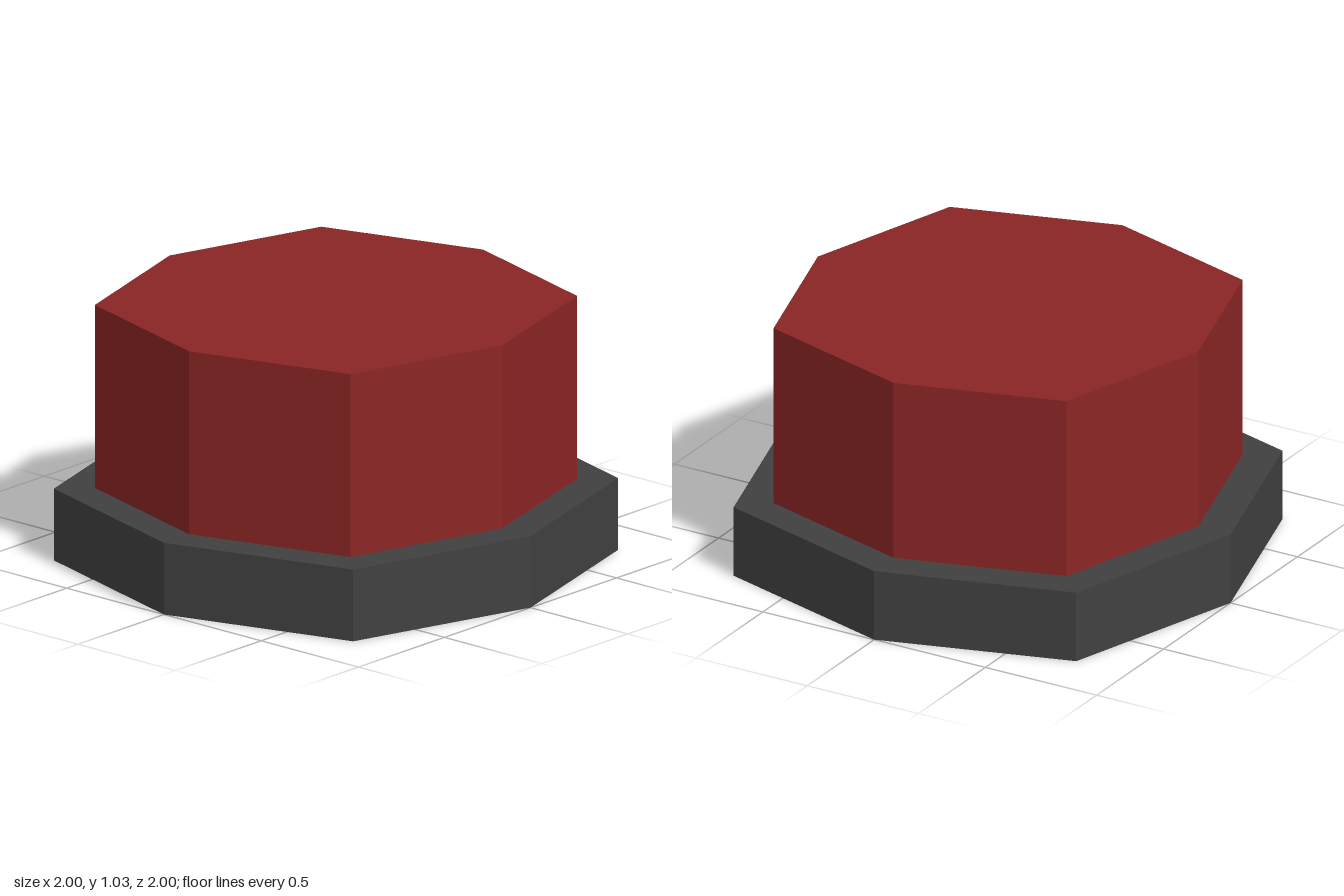
import * as THREE from 'three';

// Eight-sided prism: corners on the axes at `axis`, corners on the diagonals at (diag, diag)
function octagonPrism(name, axis, diag, y0, y1, material) {
  const points = [];
  for (let i = 0; i < 8; i++) {
    const r = i % 2 ? diag * Math.SQRT2 : axis;
    const a = (i * Math.PI) / 4;
    points.push(new THREE.Vector2(r * Math.cos(a), r * Math.sin(a)));
  }
  const geometry = new THREE.ExtrudeGeometry(new THREE.Shape(points), {
    depth: y1 - y0,
    bevelEnabled: false,
  });
  geometry.rotateX(-Math.PI / 2);
  geometry.translate(0, y0, 0);
  const mesh = new THREE.Mesh(geometry, material);
  mesh.name = name;
  return mesh;
}

export function createModel() {
  const darkGrey = new THREE.MeshStandardMaterial({ color: 0x404040, flatShading: true });
  darkGrey.name = 'dark grey';
  const red = new THREE.MeshStandardMaterial({ color: 0x8b2525, flatShading: true });
  red.name = 'red';

  const group = new THREE.Group();
  group.name = 'pushButton';
  // Wide collar at the bottom, cap standing on it
  group.add(octagonPrism('base', 1, 0.77, 0, 0.29, darkGrey));
  group.add(octagonPrism('buttonCap', 0.855, 0.658, 0.29, 1.03, red));
  return group;
}
